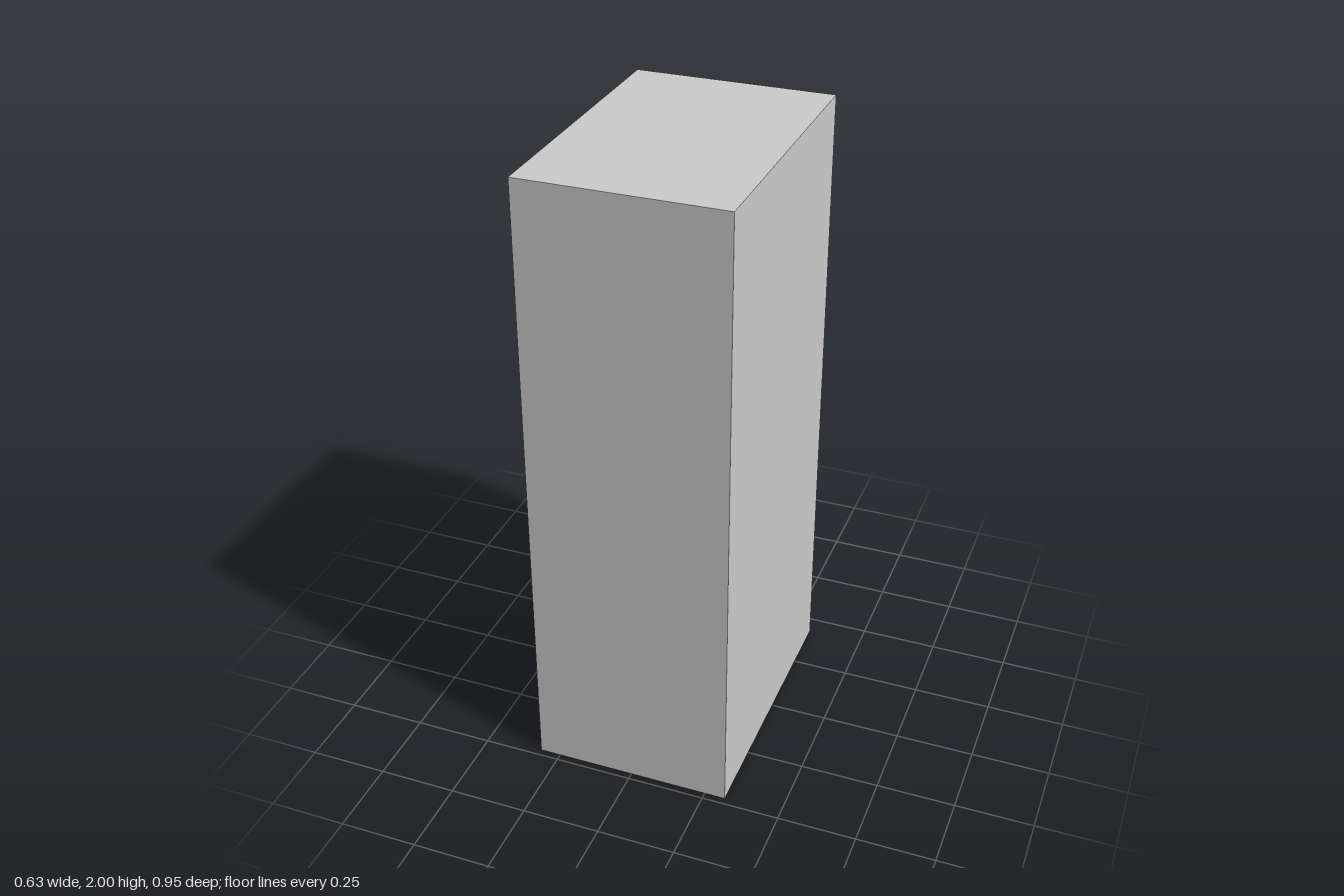
import * as THREE from 'three';

const material = new THREE.MeshStandardMaterial({ color: 0xcccccc, flatShading: true });

// Box given by its [min, max] extent along each axis
function box(name, [x0, x1], [y0, y1], [z0, z1]) {
  const mesh = new THREE.Mesh(new THREE.BoxGeometry(x1 - x0, y1 - y0, z1 - z0), material);
  mesh.position.set((x0 + x1) / 2, (y0 + y1) / 2, (z0 + z1) / 2);
  mesh.name = name;
  return mesh;
}

export function createModel() {
  const model = new THREE.Group();
  model.name = 'cabinet';

  // Plain tall cabinet body
  const back = -0.431;
  model.add(box('body', [-0.317, 0.317], [0, 2], [back, 0.477]));

  // Upright bar handle on two short posts
  const handle = new THREE.Group();
  handle.name = 'handle';
  const hx = [0.255, 0.276], bottom = 0.922, top = 1.218, outer = -0.477, barInner = -0.469, post = 0.02;
  handle.add(box('handleBar', hx, [bottom, top], [outer, barInner]));
  handle.add(box('handlePostLower', hx, [bottom, bottom + post], [barInner, back]));
  handle.add(box('handlePostUpper', hx, [top - post, top], [barInner, back]));
  model.add(handle);

  return model;
}
